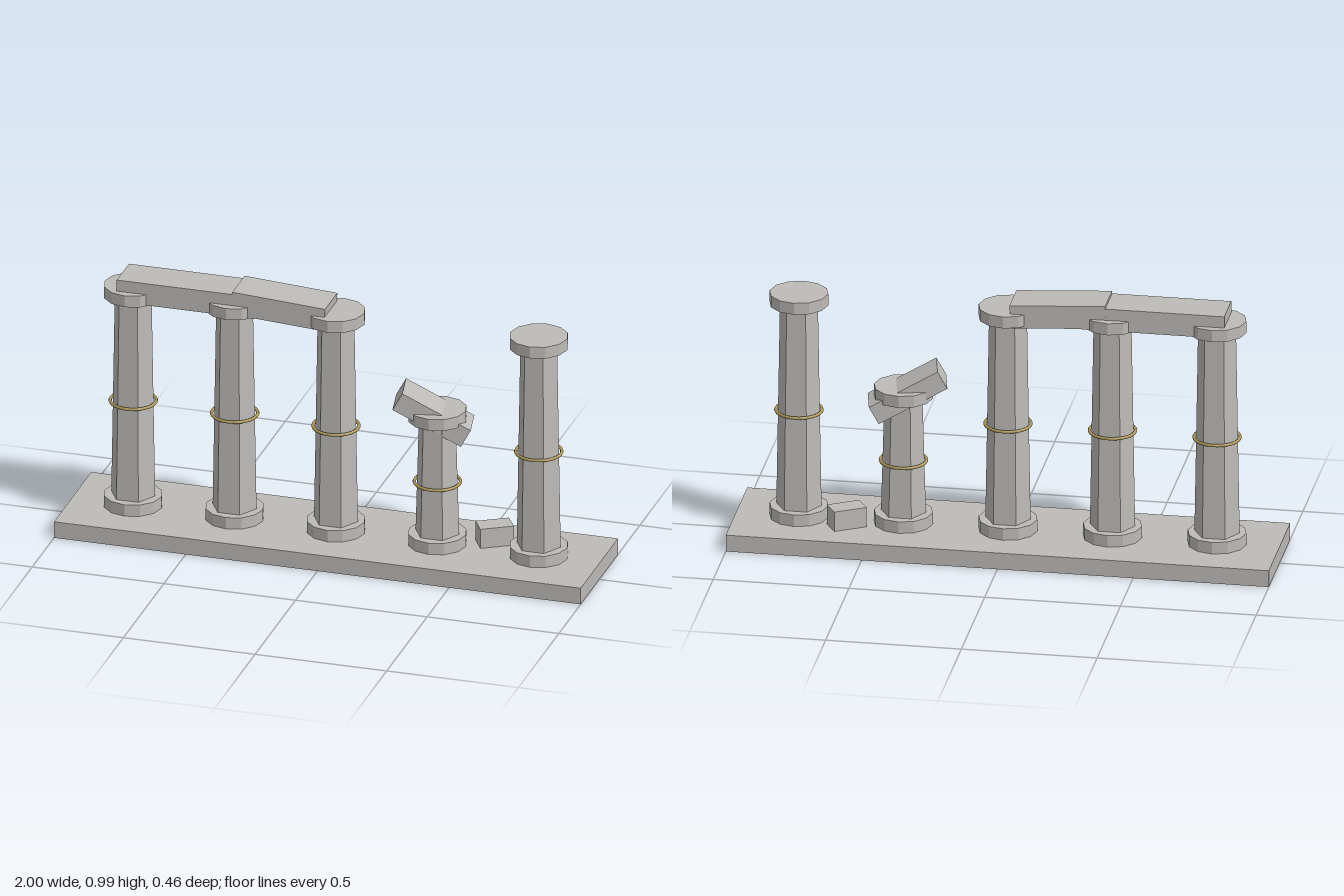
import * as THREE from 'three';

export function createModel() {
  const model = new THREE.Group();
  model.name = 'ruinedColonnade';

  const stone = new THREE.MeshStandardMaterial({ color: 0xbdbbb8, flatShading: true });
  stone.name = 'stone';
  const gold = new THREE.MeshStandardMaterial({ color: 0xb09a5c });
  gold.name = 'agedGold';

  const add = (parent, name, geometry, material, x, y, z) => {
    const mesh = new THREE.Mesh(geometry, material);
    mesh.name = name;
    mesh.position.set(x, y, z);
    parent.add(mesh);
    return mesh;
  };
  const block = (name, size, pos, yaw = 0, tilt = 0) => {
    const mesh = add(model, name, new THREE.BoxGeometry(...size), stone, ...pos);
    mesh.rotation.set(0, yaw, tilt);
    return mesh;
  };

  const floor = 0.064, discHeight = 0.045, discRadius = 0.108;

  // Base slab
  block('baseSlab', [2, floor, 0.46], [0, floor / 2, 0]);

  // Column: twelve-sided plinth and capital, six-sided tapering shaft, gold ring
  const column = (name, x, top, ringY) => {
    const group = new THREE.Group();
    group.name = name;
    group.position.x = x;
    model.add(group);
    const disc = new THREE.CylinderGeometry(discRadius, discRadius, discHeight, 12);
    add(group, 'plinth', disc, stone, 0, floor + discHeight / 2, 0);
    add(group, 'capital', disc, stone, 0, top - discHeight / 2, 0);
    const height = top - discHeight - floor;
    const shaft = new THREE.CylinderGeometry(0.07, 0.084, height, 6);
    shaft.rotateY(Math.PI / 6);
    add(group, 'shaft', shaft, stone, 0, floor + height / 2, 0);
    const ring = new THREE.TorusGeometry(0.084, 0.006, 8, 32);
    ring.rotateX(Math.PI / 2);
    add(group, 'ring', ring, gold, 0, ringY, 0);
  };
  [-0.77, -0.385, 0, 0.385, 0.77].forEach((x, i) => {
    const broken = i === 3;
    column(broken ? 'brokenColumn' : 'column', x, broken ? 0.602 : 0.941, broken ? 0.31 : 0.48);
  });

  // Lintels resting on the three left-hand columns, the second one sagging
  block('lintel', [0.525, 0.086, 0.151], [-0.547, 0.942, 0]);
  block('saggingLintel', [0.353, 0.088, 0.152], [-0.197, 0.94, 0], 0, -0.062);

  // Fallen pieces
  block('fallenLintel', [0.284, 0.075, 0.138], [0.37, 0.581, 0], 0.2, -0.5);
  block('rubbleBlock', [0.125, 0.076, 0.077], [0.583, floor + 0.038, -0.064], 0.53);

  return model;
}
